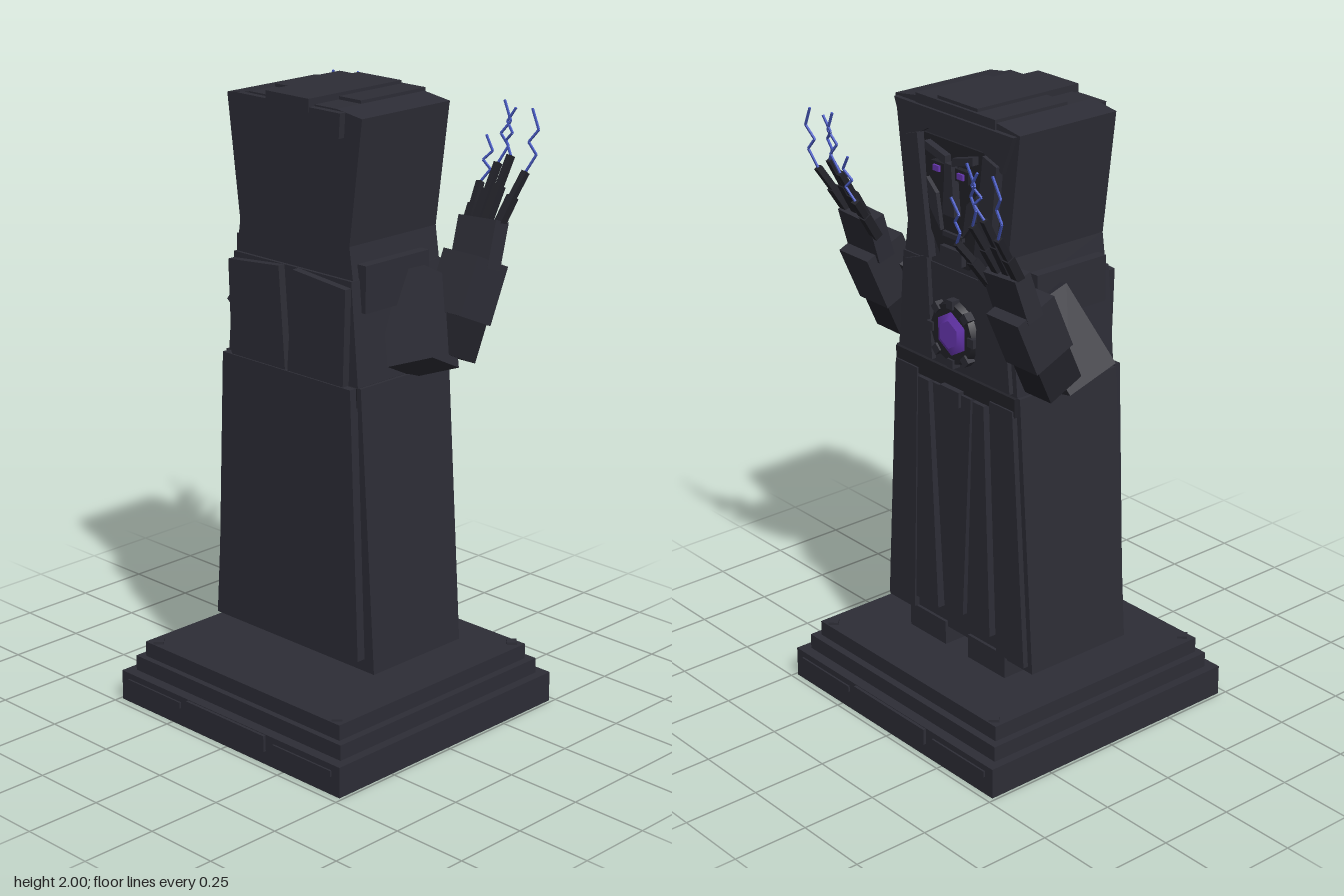
import * as THREE from 'three';

const mat = (name, color) => Object.assign(new THREE.MeshStandardMaterial({ color }), { name });
const stone = mat('dark stone', 0x2d2d36);
const shade = mat('shadow stone', 0x222229);
const purple = mat('violet crystal', 0x6a38b4);
const blue = mat('blue spark', 0x4a5cc4);

export function createModel() {
  const model = new THREE.Group();
  model.name = 'robedStatue';

  const add = (name, geometry, material = stone, parent = model) => {
    const mesh = new THREE.Mesh(geometry, material);
    mesh.name = name;
    parent.add(mesh);
    return mesh;
  };
  // Box given by its minimum and maximum on each axis
  const box = (name, x0, x1, y0, y1, z0, z1, material, parent) => {
    const m = add(name, new THREE.BoxGeometry(x1 - x0, y1 - y0, z1 - z0), material, parent);
    m.position.set((x0 + x1) / 2, (y0 + y1) / 2, (z0 + z1) / 2);
    return m;
  };
  // Outline in x and y, extruded from z0 to z1
  const slab = (name, pts, z0, z1, material, parent) => {
    const shape = new THREE.Shape(pts.map(([x, y]) => new THREE.Vector2(x, y)));
    const g = new THREE.ExtrudeGeometry(shape, { depth: z1 - z0, bevelEnabled: false });
    return add(name, g.translate(0, 0, z0), material, parent);
  };
  // Right half of an outline, listed from bottom to top, mirrored over x = 0
  const mirrored = (half) => [...half, ...half.map(([x, y]) => [-x, y]).reverse()];
  // Box running from a to b, w wide and d deep
  const limb = (name, a, b, w, d, material, parent) => {
    const p = new THREE.Vector3(...a), q = new THREE.Vector3(...b);
    const dir = q.clone().sub(p);
    const m = add(name, new THREE.BoxGeometry(w, dir.length(), d), material, parent);
    m.position.copy(p).add(q).multiplyScalar(0.5);
    m.quaternion.setFromUnitVectors(new THREE.Vector3(0, 1, 0), dir.normalize());
    return m;
  };

  // Stepped plinth with edge plates and corner studs
  box('plinthBase', -0.49, 0.49, 0, 0.1, -0.48, 0.475);
  box('plinthMiddle', -0.46, 0.46, 0.1, 0.15, -0.445, 0.44);
  box('plinthTop', -0.435, 0.435, 0.15, 0.2, -0.42, 0.42);
  for (const z of [-0.48, 0.475]) {
    box('plinthPlate', -0.175, 0.175, 0.045, 0.098, z - 0.01, z + 0.01);
    for (const s of [-1, 1]) {
      box('plinthSidePlate', s * 0.333 - 0.123, s * 0.333 + 0.123, 0.06, 0.08, z - 0.006, z + 0.006);
    }
  }
  for (const x of [-0.4, 0.4]) for (const z of [-0.395, 0.395]) {
    const stud = add('cornerStud', new THREE.BoxGeometry(0.032, 0.01, 0.032));
    stud.position.set(x, 0.203, z);
    stud.rotation.y = Math.PI / 4;
  }

  // Feet
  for (const s of [-1, 1]) box('foot', s * 0.143 - 0.088, s * 0.143 + 0.088, 0.2, 0.28, -0.21, 0.09);

  // Flared skirt with a rear panel and tapered front folds
  slab('skirt', mirrored([[0.35, 0.26], [0.29, 1.16]]), -0.2, 0.185);
  slab('skirtRearPanel', mirrored([[0.31, 0.3], [0.275, 1.16]]), 0.18, 0.215);
  slab('skirtCentreFold', mirrored([[0.045, 0.35], [0.09, 1.1]]), -0.222, -0.2);
  for (const s of [-1, 1]) {
    const side = (pts) => pts.map(([x, y]) => [s * x, y]);
    slab('skirtInnerFold', side([[0.07, 0.33], [0.18, 0.33], [0.155, 1.1], [0.105, 1.1]]), -0.227, -0.195);
    slab('skirtOuterFold', side([[0.2, 0.28], [0.33, 0.28], [0.275, 1.12], [0.17, 1.12]]), -0.218, -0.195);
  }
  box('belt', -0.28, 0.28, 1.1, 1.16, -0.212, 0.19, shade);
  box('buckle', -0.045, 0.045, 1.06, 1.11, -0.232, -0.2);

  // Torso with a rear cape split by a wedge
  slab('torso', mirrored([[0.28, 1.14], [0.25, 1.48]]), -0.2, 0.185);
  for (const s of [-1, 1]) {
    slab('capePanel', [[s * 0.005, 1.16], [s * 0.24, 1.16], [s * 0.25, 1.46], [s * 0.03, 1.48]], 0.18, 0.21);
    slab('chestLapel', [[s * 0.1, 1.17], [s * 0.26, 1.17], [s * 0.23, 1.46], [s * 0.12, 1.5]], -0.215, -0.19);
    box('shoulder', s * 0.24 - 0.035, s * 0.24 + 0.035, 1.38, 1.525, -0.12, 0.15);
  }

  // Chest crystal in a spiked octagonal setting
  const setting = add('crystalSetting', new THREE.CylinderGeometry(0.1, 0.11, 0.03, 8), shade);
  setting.rotation.x = -Math.PI / 2;
  setting.position.set(0, 1.285, -0.206);
  for (let i = 0; i < 8; i++) {
    const a = (i * Math.PI) / 4;
    const spike = add('settingSpike', new THREE.BoxGeometry(0.028, 0.028, 0.03));
    spike.position.set(Math.cos(a) * 0.095, 1.285 + Math.sin(a) * 0.095, -0.213);
    spike.rotation.z = a;
  }
  const gem = add('chestCrystal', new THREE.CylinderGeometry(0.045, 0.075, 0.014, 6), purple);
  gem.rotation.x = -Math.PI / 2;
  gem.position.set(0, 1.285, -0.226);

  // Hood, widening upward, with stepped crown and rear brim
  slab('hood', mirrored([[0.25, 1.46], [0.232, 1.58], [0.282, 1.965], [0.18, 1.98]]), -0.195, 0.175);
  box('crownStep', -0.18, 0.18, 1.96, 1.99, -0.2, 0.075);
  box('crownStrip', -0.09, 0.09, 1.96, 2, -0.19, 0.2);
  slab('rearBrim', [[-0.21, 1.9], [-0.1, 1.92], [0.1, 1.92], [0.21, 1.9], [0.215, 1.975], [-0.215, 1.975]], 0.17, 0.197);
  slab('hoodArch', [[-0.22, 1.84], [-0.11, 1.9], [0.11, 1.9], [0.22, 1.84], [0.27, 1.96], [-0.27, 1.96]], -0.21, -0.19);

  // Face
  slab('face', mirrored([[0.06, 1.5], [0.12, 1.6], [0.14, 1.88]]), -0.203, -0.19, shade);
  slab('nose', mirrored([[0.028, 1.66], [0.014, 1.82]]), -0.228, -0.2);
  box('mouth', -0.045, 0.045, 1.585, 1.6, -0.214, -0.2);
  box('chin', -0.05, 0.05, 1.51, 1.555, -0.22, -0.2);
  for (const s of [-1, 1]) {
    box('eye', s * 0.055 - 0.014, s * 0.055 + 0.014, 1.785, 1.803, -0.229, -0.221, purple);
    box('eyeSocket', s * 0.055 - 0.03, s * 0.055 + 0.03, 1.775, 1.812, -0.222, -0.2, shade);
    slab('brow', [[s * 0.015, 1.815], [s * 0.11, 1.84], [s * 0.11, 1.865], [s * 0.015, 1.84]], -0.226, -0.2);
    slab('cheek', [[s * 0.05, 1.6], [s * 0.1, 1.66], [s * 0.115, 1.75], [s * 0.07, 1.71]], -0.217, -0.2);
    const lappet = slab('hoodLappet', [[s * 0.1, 1.5], [s * 0.17, 1.5], [s * 0.21, 1.86], [s * 0.15, 1.88]], -0.222, -0.195);
    lappet.material = stone;
  }

  // Raised arms: sleeve, forearm, cuff, hand, fingers and sparks
  const fingers = [
    // base x, tip x, base y, tip y
    [0.265, 0.235, 1.56, 1.68],
    [0.31, 0.305, 1.6, 1.75],
    [0.35, 0.355, 1.61, 1.78],
    [0.395, 0.415, 1.6, 1.74],
  ];
  const zigzag = [[0, 0, 0], [0.03, 0.055, -0.012], [0.002, 0.09, -0.008], [0.032, 0.13, -0.018], [0.002, 0.19, -0.022]];
  for (const s of [-1, 1]) {
    const arm = new THREE.Group();
    arm.name = s > 0 ? 'leftArm' : 'rightArm';
    model.add(arm);
    const seg = (name, a, b, w, d, m) =>
      limb(name, [s * a[0], a[1], a[2]], [s * b[0], b[1], b[2]], w, d, m, arm);
    seg('upperSleeve', [0.24, 1.44, -0.1], [0.36, 1.2, -0.01], 0.17, 0.15);
    seg('forearm', [0.352, 1.21, -0.125], [0.35, 1.42, -0.22], 0.115, 0.13, shade);
    seg('cuff', [0.347, 1.32, -0.175], [0.347, 1.49, -0.25], 0.138, 0.15);
    seg('palm', [0.343, 1.46, -0.25], [0.335, 1.6, -0.295], 0.15, 0.06);
    fingers.forEach(([x0, x1, y0, y1], i) => {
      const mid = [x0 * 0.5 + x1 * 0.5, y0 * 0.5 + y1 * 0.5, -0.345];
      const tip = [x1, y1, -0.39];
      seg('fingerBase', [x0, y0 - 0.02, -0.29], mid, 0.027, 0.028, shade);
      seg('fingerTip', mid, tip, 0.019, 0.02, shade);
      // Zigzag spark above each fingertip
      const k = i % 2 ? 1 : 0.75;
      const dir = i === 2 ? -1 : 1;
      const pts = zigzag.map(([x, y, z]) => [tip[0] + dir * x, tip[1] + y * k, tip[2] + z]);
      for (let j = 1; j < pts.length; j++) seg('spark', pts[j - 1], pts[j], 0.006, 0.006, blue);
    });
  }
  return model;
}
